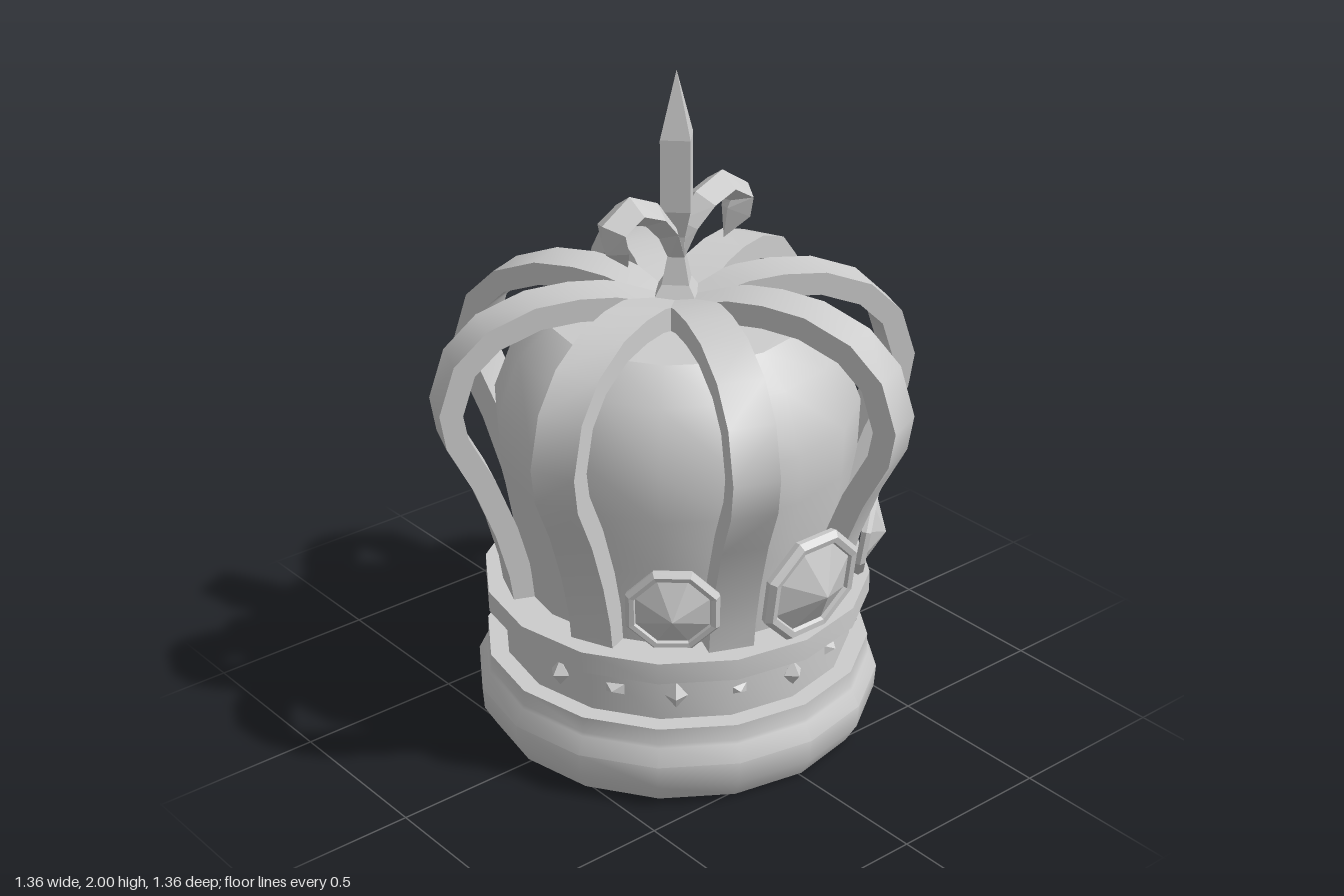
import * as THREE from 'three';
import { toCreasedNormals } from 'three/addons/utils/BufferGeometryUtils.js';

const smooth = new THREE.MeshStandardMaterial({ color: 0xcccccc, side: THREE.DoubleSide });
const faceted = new THREE.MeshStandardMaterial({ color: 0xcccccc, side: THREE.DoubleSide, flatShading: true });
const rad = THREE.MathUtils.degToRad;
const vecs = (pts) => pts.map(([x, y]) => new THREE.Vector2(x, y));

function add(parent, name, geometry, material = smooth) {
  const mesh = new THREE.Mesh(geometry, material);
  mesh.name = name;
  parent.add(mesh);
  return mesh;
}

const turned = (pts, sides) => toCreasedNormals(new THREE.LatheGeometry(vecs(pts), sides), 0.6);

// Flat strap of constant thickness following a (radius, height) line
function strapGeometry(line, half, width) {
  const pts = vecs(line);
  const offset = (side) => pts.map((p, i) => {
    const a = pts[Math.max(i - 1, 0)], b = pts[Math.min(i + 1, pts.length - 1)];
    const t = b.clone().sub(a).normalize();
    return new THREE.Vector2(p.x - t.y * half * side, p.y + t.x * half * side);
  });
  const shape = new THREE.Shape([...offset(1), ...offset(-1).reverse()]);
  const geo = new THREE.ExtrudeGeometry(shape, { depth: width, bevelEnabled: false });
  return toCreasedNormals(geo.translate(0, 0, -width / 2), 0.7);
}

// Leaf with a diamond section; stations are [z, y, half thickness, half width]
function leafGeometry(stations) {
  const pos = [], index = [];
  stations.forEach(([z, y, h, w], i) => {
    const a = stations[Math.max(i - 1, 0)], b = stations[Math.min(i + 1, stations.length - 1)];
    const t = new THREE.Vector2(b[0] - a[0], b[1] - a[1]).normalize();
    const nz = -t.y * h, ny = t.x * h;
    pos.push(0, y + ny, z + nz, w, y, z, 0, y - ny, z - nz, -w, y, z);
    if (i === 0) return;
    for (let k = 0; k < 4; k++) {
      const p = (i - 1) * 4 + k, q = (i - 1) * 4 + (k + 1) % 4;
      index.push(p, q, p + 4, q, q + 4, p + 4);
    }
  });
  const geo = new THREE.BufferGeometry();
  geo.setAttribute('position', new THREE.Float32BufferAttribute(pos, 3));
  geo.setIndex(index);
  geo.computeVertexNormals();
  return geo;
}

// Group turned so that its +z points outward at an angle from +x
function facing(parent, name, degrees) {
  const g = new THREE.Group();
  g.name = name;
  g.rotation.y = rad(90 - degrees);
  parent.add(g);
  return g;
}

export function createModel() {
  const crown = new THREE.Group();
  crown.name = 'crown';

  // Hollow base: rounded rim, plain band and upper ring
  add(crown, 'base', turned([
    [0.5, 0.02], [0.53, 0], [0.565, 0.01], [0.6, 0.07], [0.605, 0.14], [0.58, 0.19], [0.575, 0.2],
    [0.575, 0.25], [0.52, 0.25], [0.52, 0.4], [0.575, 0.4], [0.575, 0.465], [0.46, 0.465],
    [0.46, 0.27], [0.5, 0.2], [0.49, 0.1], [0.5, 0.02],
  ], 16));

  // Inner cap
  add(crown, 'cap', turned([
    [0.46, 0.4], [0.475, 0.55], [0.495, 0.7], [0.525, 0.88], [0.53, 1.03], [0.465, 1.2],
    [0.37, 1.285], [0.2, 1.295], [0, 1.285],
  ], 16));

  // Eight arched straps
  const strap = strapGeometry([
    [0, 1.295], [0.1, 1.32], [0.2, 1.345], [0.3, 1.352], [0.42, 1.342], [0.55, 1.292], [0.635, 1.21],
    [0.677, 1.08], [0.662, 0.99], [0.59, 0.85], [0.53, 0.69], [0.493, 0.55], [0.475, 0.42],
  ], 0.034, 0.133);
  for (let i = 0; i < 8; i++) {
    add(crown, 'arch', strap).rotation.y = rad(22.5 + 45 * i);
  }

  // Octagonal jewels in raised frames, tipped to follow the cap
  const toFront = (geo) => geo.rotateY(Math.PI / 8).rotateX(Math.PI / 2);
  const frame = toFront(new THREE.LatheGeometry(
    vecs([[0, 0], [0.172, 0], [0.177, 0.018], [0.162, 0.035], [0.144, 0.033], [0.138, 0.02]]), 8));
  const stone = toFront(new THREE.LatheGeometry(vecs([[0.14, 0.022], [0, 0.088]]), 8));
  for (const [angle, radius, height, scale] of [[0, 0.567, 0.65, 1], [41, 0.55, 0.635, 0.8], [-41, 0.55, 0.635, 0.8]]) {
    const jewel = new THREE.Group();
    jewel.name = 'jewel';
    jewel.position.set(0, height, radius);
    jewel.rotation.x = rad(8);
    jewel.scale.setScalar(scale);
    add(jewel, 'jewelFrame', frame, faceted);
    add(jewel, 'jewelStone', stone, faceted);
    facing(crown, 'jewelMount', angle).add(jewel);
  }

  // Small studs along the band, diamonds alternating with bars
  const diamond = new THREE.OctahedronGeometry(1).scale(0.033, 0.042, 0.03);
  const bar = new THREE.ConeGeometry(Math.SQRT1_2, 1, 4, 1).rotateY(Math.PI / 4)
    .rotateX(Math.PI / 2).scale(0.08, 0.046, 0.035);
  for (let i = -4; i <= 4; i++) {
    const even = i % 2 === 0;
    const stud = add(facing(crown, 'studMount', i * 20), even ? 'diamondStud' : 'barStud', even ? diamond : bar, faceted);
    stud.position.set(0, 0.33, 0.517);
  }

  // Finial: four-sided spear with a curled leaf on each side
  const finial = new THREE.Group();
  finial.name = 'finial';
  crown.add(finial);
  add(finial, 'spear', new THREE.LatheGeometry(vecs([
    [0, 1.29], [0.09, 1.335], [0.055, 1.38], [0.034, 1.46], [0.036, 1.52], [0.06, 1.6], [0.06, 1.81], [0, 2],
  ]), 4), faceted);
  const leaf = leafGeometry([
    [0, 1.46, 0.03, 0.035], [0.035, 1.54, 0.034, 0.05], [0.09, 1.6, 0.036, 0.062], [0.165, 1.63, 0.042, 0.062],
    [0.232, 1.59, 0.038, 0.062], [0.22, 1.535, 0.035, 0.062], [0.175, 1.465, 0, 0],
  ]);
  for (const turn of [0, Math.PI]) add(finial, 'curledLeaf', leaf, faceted).rotation.y = turn;

  return crown;
}
